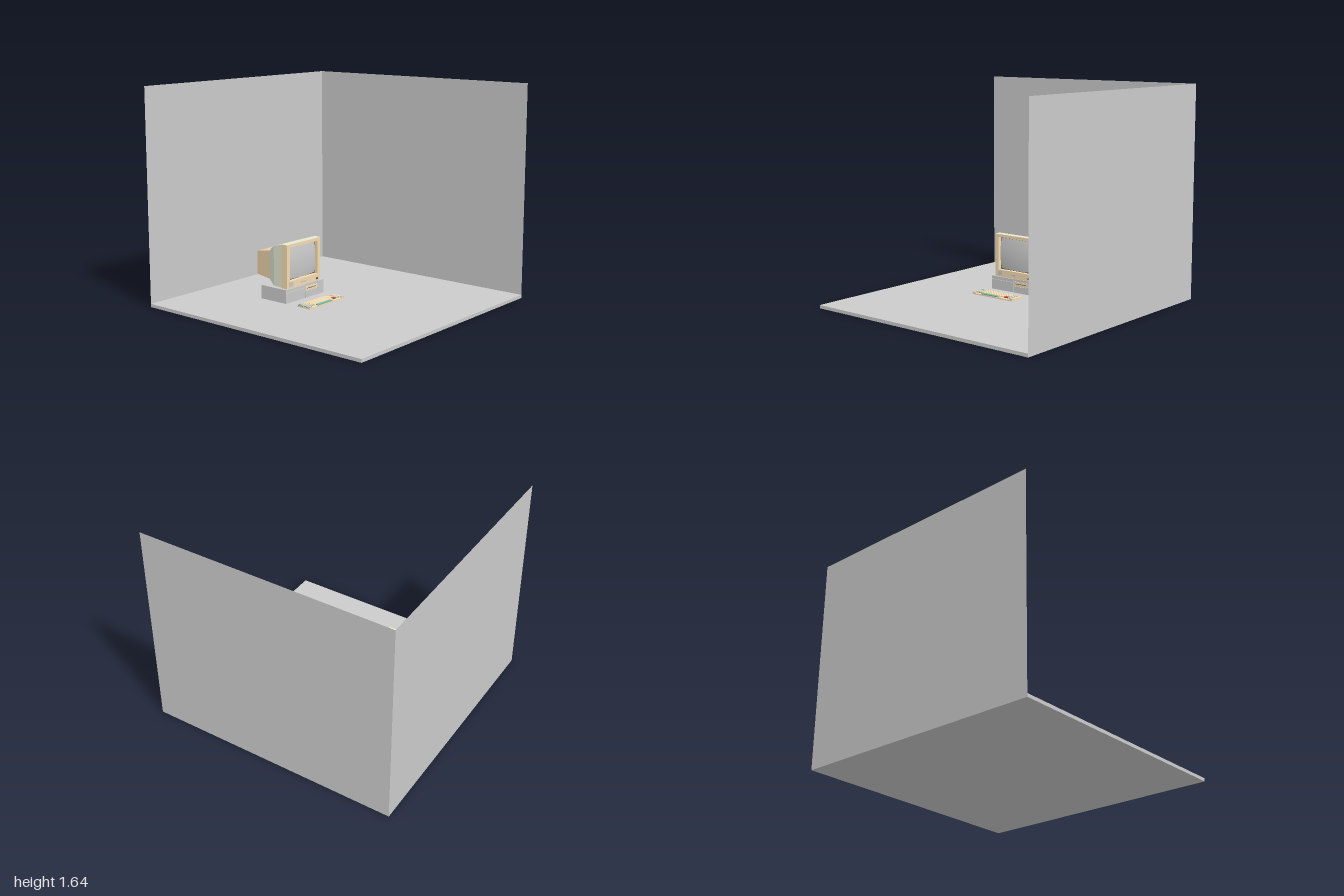
import * as THREE from 'three';

const mat = (color) => new THREE.MeshStandardMaterial({ color });
const GREY = mat(0xcccccc);
const SHEET = new THREE.MeshStandardMaterial({ color: 0xcccccc, side: THREE.DoubleSide });
const BEIGE = mat(0xf5dcb2);
const PALE = mat(0xe6ead4);
const TAN = mat(0xf0d3ab);
const DARK = mat(0x5a5850);
const KEY = mat(0xd2cfbd);
const TEAL = mat(0x72c0a8);
const RED = mat(0xc83a42);

const FLOOR = 0.025;

function add(group, name, geometry, material) {
  const mesh = new THREE.Mesh(geometry, material);
  mesh.name = name;
  group.add(mesh);
  return mesh;
}

// Box given by its limits on each axis
function box(group, name, [x0, x1], [y0, y1], [z0, z1], material) {
  const mesh = add(group, name, new THREE.BoxGeometry(x1 - x0, y1 - y0, z1 - z0), material);
  mesh.position.set((x0 + x1) / 2, (y0 + y1) / 2, (z0 + z1) / 2);
  return mesh;
}

// Tapered block between two rectangles {z, w: half width, y0, y1}
function taper(group, name, front, back, material) {
  const g = new THREE.BoxGeometry(2, 1, 1);
  const p = g.attributes.position;
  for (let i = 0; i < p.count; i++) {
    const s = p.getZ(i) > 0 ? front : back;
    p.setXYZ(i, p.getX(i) * s.w, p.getY(i) > 0 ? s.y1 : s.y0, s.z);
  }
  g.computeVertexNormals();
  return add(group, name, g, material);
}

// Floor slab and two thin walls
function buildRoom() {
  const room = new THREE.Group();
  room.name = 'room';
  const w = 0.987, h = 1.645;
  box(room, 'floor', [-w, w], [0, FLOOR], [-1, 1], GREY);
  const back = add(room, 'backWall', new THREE.PlaneGeometry(2 * w, h), SHEET);
  back.position.set(0, h / 2, -1);
  const side = add(room, 'leftWall', new THREE.PlaneGeometry(2, h), SHEET);
  side.rotation.y = -Math.PI / 2;
  side.position.set(w, h / 2, 0);
  return room;
}

// Flat desktop case with front panels
function buildCase() {
  const pc = new THREE.Group();
  pc.name = 'computerCase';
  box(pc, 'caseBody', [-0.35, 0.08], [FLOOR, 0.13], [-0.47, -0.228], GREY);
  box(pc, 'upperFrontPanel', [-0.35, -0.134], [0.107, 0.13], [-0.228, -0.222], GREY);
  box(pc, 'lowerFrontPanel', [-0.35, -0.134], [FLOOR, 0.103], [-0.228, -0.222], GREY);
  box(pc, 'sideFrontPanel', [0.013, 0.08], [FLOOR, 0.13], [-0.228, -0.222], GREY);
  box(pc, 'driveHousing', [-0.13, 0.01], [FLOOR, 0.076], [-0.228, -0.222], GREY);
  box(pc, 'drivePlate', [-0.13, 0.01], [0.08, 0.112], [-0.228, -0.222], BEIGE);
  box(pc, 'driveSlot', [-0.11, -0.01], [0.094, 0.098], [-0.222, -0.2212], DARK);
  return pc;
}

// Tube monitor, built around its own centre line
function buildMonitor() {
  const monitor = new THREE.Group();
  monitor.name = 'monitor';
  monitor.position.x = -0.135;

  // Bezel frame with the screen opening
  const rect = (s, x, y0, y1) => s.moveTo(-x, y0).lineTo(x, y0).lineTo(x, y1).lineTo(-x, y1).closePath();
  const frame = rect(new THREE.Shape(), 0.19, 0.13, 0.465);
  frame.holes.push(rect(new THREE.Path(), 0.157, 0.185, 0.442));
  const bezel = add(monitor, 'bezel', new THREE.ExtrudeGeometry(frame, { depth: 0.055, bevelEnabled: false }), BEIGE);
  bezel.position.z = -0.287;
  box(monitor, 'bezelTop', [-0.19, 0.19], [0.465, 0.466], [-0.287, -0.235], PALE);
  box(monitor, 'screenSurround', [-0.157, 0.157], [0.185, 0.442], [-0.275, -0.262], DARK);

  // Bulging screen glass
  const glass = new THREE.PlaneGeometry(0.306, 0.247, 14, 14);
  const p = glass.attributes.position;
  for (let i = 0; i < p.count; i++) {
    const u = p.getX(i) / 0.153, v = p.getY(i) / 0.1235;
    p.setXYZ(i, p.getX(i) * (1 - 0.03 * v * v), p.getY(i) * (1 - 0.03 * u * u), -0.01 * (u * u + v * v));
  }
  glass.computeVertexNormals();
  add(monitor, 'screen', glass, GREY).position.set(0, 0.3135, -0.24);

  // Controls under the screen
  box(monitor, 'badgePlate', [-0.162, -0.122], [0.141, 0.177], [-0.232, -0.23], GREY);
  box(monitor, 'controlFlap', [-0.026, 0.024], [0.151, 0.162], [-0.232, -0.229], GREY);
  box(monitor, 'powerButton', [0.138, 0.158], [0.142, 0.156], [-0.232, -0.227], DARK);

  // Housing narrowing towards the back
  const a = { z: -0.287, w: 0.187, y0: 0.132, y1: 0.463 };
  const b = { z: -0.37, w: 0.184, y0: 0.135, y1: 0.44 };
  const c = { z: -0.48, w: 0.112, y0: 0.155, y1: 0.375 };
  const d = { z: -0.62, w: 0.098, y0: 0.17, y1: 0.352 };
  taper(monitor, 'housing', a, b, PALE);
  taper(monitor, 'housingTaper', b, c, PALE);
  taper(monitor, 'tubeCover', c, d, TAN);
  return monitor;
}

// Keyboard with staggered rows at both ends of the main key field
function buildKeyboard() {
  const kb = new THREE.Group();
  kb.name = 'keyboard';
  const y = [0.034, 0.043];
  box(kb, 'keyboardBase', [-0.35, 0.047], [FLOOR, 0.035], [-0.107, 0.015], BEIGE);
  box(kb, 'leftKeyWell', [-0.347, -0.27], [0.035, 0.036], [-0.104, -0.012], DARK);
  box(kb, 'rightKeyWell', [-0.055, 0.015], [0.035, 0.036], [-0.104, -0.012], DARK);
  box(kb, 'rightKeyBlock', [0.02, 0.045], [0.035, 0.042], [-0.104, -0.012], BEIGE);
  const leftEnd = [-0.296, -0.29, -0.28, -0.27];
  const rightStart = [-0.03, -0.012, -0.04, -0.055];
  for (let r = 0; r < 4; r++) {
    const z = [-0.103 + r * 0.023, -0.084 + r * 0.023];
    const split = -0.322 + (r % 2) * 0.012;
    box(kb, 'key', [-0.346, split - 0.003], y, z, r === 0 ? TEAL : KEY);
    box(kb, 'key', [split, leftEnd[r] - 0.003], y, z, KEY);
    box(kb, 'mainKeyRow', [leftEnd[r], rightStart[r] - 0.003], y, z, BEIGE);
    const mid = (rightStart[r] + 0.013) / 2;
    box(kb, 'key', [rightStart[r], mid - 0.002], y, z, r === 3 ? RED : KEY);
    box(kb, 'key', [mid + 0.002, 0.013], y, z, KEY);
  }
  const z = [-0.009, 0.012];
  box(kb, 'cornerKey', [-0.346, -0.325], y, z, KEY);
  box(kb, 'spaceBar', [-0.256, -0.105], y, z, TEAL);
  box(kb, 'key', [-0.098, -0.08], y, z, KEY);
  box(kb, 'enterKey', [0.022, 0.044], y, z, KEY);
  return kb;
}

export function createModel() {
  const model = new THREE.Group();
  model.name = 'computerRoom';
  model.add(buildRoom(), buildCase(), buildMonitor(), buildKeyboard());
  return model;
}
